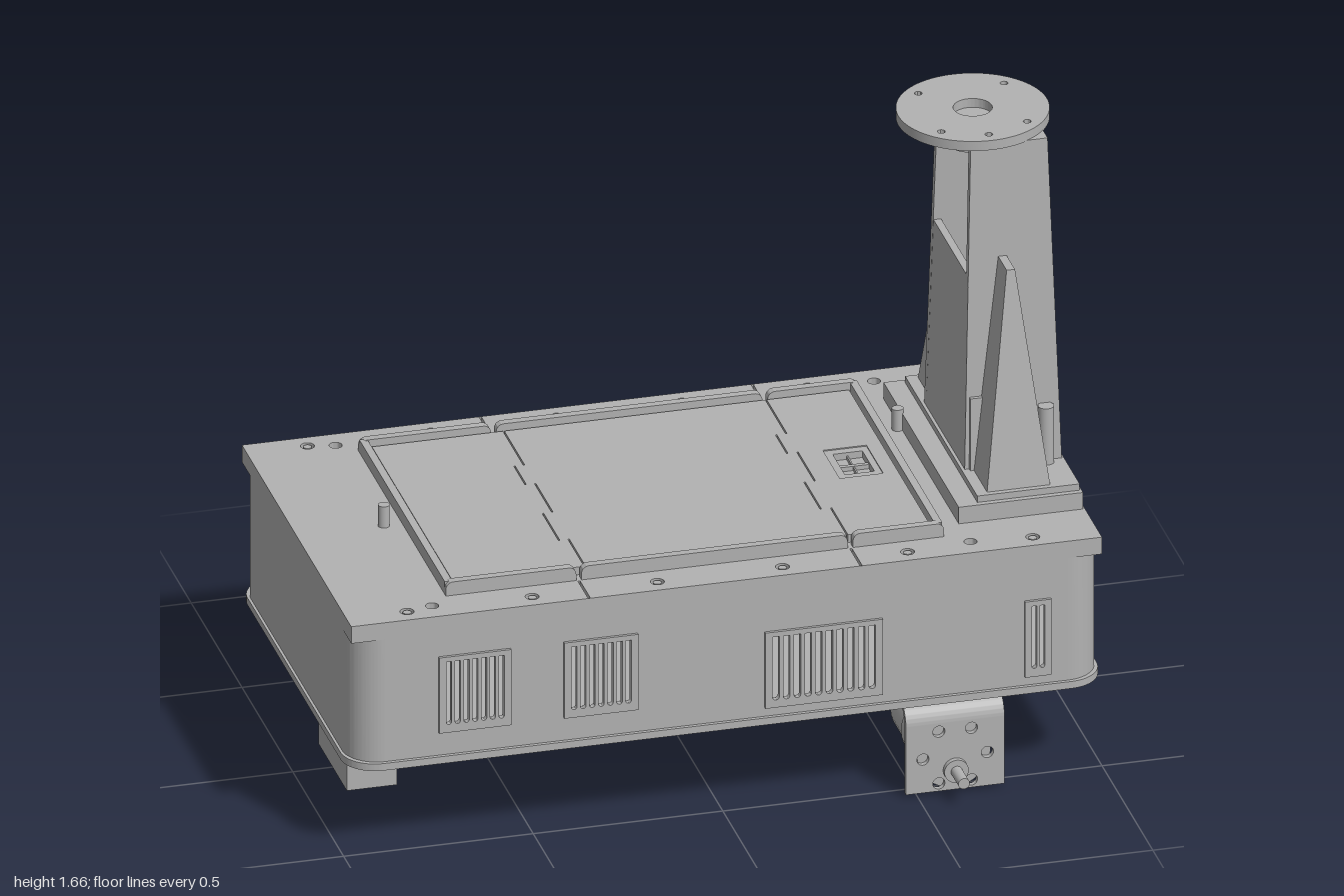
import * as THREE from 'three';
import { toCreasedNormals } from 'three/addons/utils/BufferGeometryUtils.js';

const grey = new THREE.MeshStandardMaterial({ color: 0xb2b2b2, side: THREE.DoubleSide });
grey.name = 'matt grey';

export function createModel() {
  const model = new THREE.Group();
  model.name = 'wheeledBaseWithMast';

  const add = (name, geometry, parent = model) => {
    const mesh = new THREE.Mesh(geometry, grey);
    mesh.name = name;
    parent.add(mesh);
    return mesh;
  };
  // Box given by its limits on each axis
  const box = (name, x0, x1, y0, y1, z0, z1, parent) =>
    add(name, new THREE.BoxGeometry(x1 - x0, y1 - y0, z1 - z0)
      .translate((x0 + x1) / 2, (y0 + y1) / 2, (z0 + z1) / 2), parent);
  // Box whose top rectangle differs from its bottom; rectangles are [x0, x1, z0, z1]
  const taper = (name, y0, y1, low, high, parent) => {
    const g = new THREE.BoxGeometry(1, 1, 1).toNonIndexed();
    const p = g.attributes.position;
    for (let i = 0; i < p.count; i++) {
      const r = p.getY(i) > 0 ? high : low;
      p.setXYZ(i, r[p.getX(i) > 0 ? 1 : 0], p.getY(i) > 0 ? y1 : y0, r[p.getZ(i) > 0 ? 3 : 2]);
    }
    g.computeVertexNormals();
    return add(name, g, parent);
  };
  const rod = (name, r, y0, y1, x, z, parent) =>
    add(name, new THREE.CylinderGeometry(r, r, y1 - y0, 24).translate(x, (y0 + y1) / 2, z), parent);
  const rodZ = (name, r, z0, z1, x, y, parent) =>
    add(name, new THREE.CylinderGeometry(r, r, z1 - z0, 32).rotateX(Math.PI / 2)
      .translate(x, y, (z0 + z1) / 2), parent);
  const extrude = (shape, depth) => toCreasedNormals(
    new THREE.ExtrudeGeometry(shape, { depth, bevelEnabled: false, curveSegments: 16 }), 0.6);
  // Shape drawn in x and -z, raised from y0 to y1
  const slab = (name, shape, y0, y1, parent) =>
    add(name, extrude(shape, y1 - y0).rotateX(-Math.PI / 2).translate(0, y0, 0), parent);
  const rect = (x0, x1, y0, y1, Type = THREE.Shape) => new Type(
    [[x0, y0], [x1, y0], [x1, y1], [x0, y1]].map(([x, y]) => new THREE.Vector2(x, y)));
  const hole = (x, y, r) => new THREE.Path().absarc(x, y, r, 0, Math.PI * 2, true);

  // Floor plate with rounded corners
  const floor = new THREE.Shape();
  const [fx, fz, fr] = [0.997, 0.548, 0.09];
  floor.absarc(fx - fr, fz - fr, fr, 0, Math.PI / 2);
  floor.absarc(-fx + fr, fz - fr, fr, Math.PI / 2, Math.PI);
  floor.absarc(-fx + fr, -fz + fr, fr, Math.PI, Math.PI * 1.5);
  floor.absarc(fx - fr, -fz + fr, fr, Math.PI * 1.5, Math.PI * 2);
  slab('floorPlate', floor, 0.265, 0.285);

  // End walls, rounded into the long sides
  for (const s of [1, -1]) {
    const u = new THREE.Shape();
    u.moveTo(0.9, -0.538);
    u.absarc(0.9, -0.448, 0.09, -Math.PI / 2, 0);
    u.absarc(0.9, 0.448, 0.09, 0, Math.PI / 2);
    u.lineTo(0.9, 0.518);
    u.absarc(0.9, 0.448, 0.07, Math.PI / 2, 0, true);
    u.absarc(0.9, -0.448, 0.07, 0, -Math.PI / 2, true);
    const end = slab('endWall', u, 0.285, 0.632);
    if (s < 0) end.rotation.y = Math.PI;
  }

  // Long side walls with slotted vents: [x0, x1, y0, y1, slot count]
  const vents = [[-0.76, -0.57, 0.35, 0.565, 7], [-0.43, -0.235, 0.35, 0.565, 7],
    [0.1, 0.41, 0.31, 0.525, 10], [0.785, 0.855, 0.31, 0.525, 2]];
  for (const s of [1, -1]) {
    const wall = rect(-0.9, 0.9, 0.285, 0.632);
    for (const [x0, x1, y0, y1, n] of vents) {
      wall.holes.push(rect(x0 + 0.008, x1 - 0.008, y0 + 0.008, y1 - 0.008, THREE.Path));
      const plate = rect(x0, x1, y0, y1);
      const pitch = (x1 - x0 - 0.028) / n;
      for (let i = 0; i < n; i++) {
        const x = x0 + 0.014 + pitch * (i + 0.5), w = pitch * 0.31;
        const slot = new THREE.Path();
        slot.moveTo(x - w, y1 - 0.014);
        slot.lineTo(x - w, y0 + 0.03);
        slot.absarc(x, y0 + 0.03, w, Math.PI, Math.PI * 2);
        slot.lineTo(x + w, y1 - 0.014);
        plate.holes.push(slot);
      }
      add('ventGrille', extrude(plate, 0.016).translate(0, 0, s > 0 ? 0.53 : -0.546));
    }
    add('sideWall', extrude(wall, 0.02).translate(0, 0, s > 0 ? 0.518 : -0.538));
  }

  // Deck with bolt holes, screws and notched edges
  const deck = rect(-0.99, 0.99, -0.538, 0.538);
  for (const s of [1, -1]) {
    for (const x of [-0.76, 0.66]) deck.holes.push(hole(x, s * 0.475, 0.017));
    for (let i = 0; i < 6; i++) {
      const x = -0.83 + i * 0.33;
      deck.holes.push(hole(x, s * 0.49, 0.018));
      rod('deckScrew', 0.011, 0.635, 0.678, x, s * 0.49);
    }
    for (const x of [-0.362, 0.355])
      deck.holes.push(rect(x - 0.003, x + 0.003, s * 0.485 - 0.05, s * 0.485 + 0.05, THREE.Path));
  }
  slab('deck', deck, 0.632, 0.68);

  // Lid in three pieces with stepped joints
  const steps = [-0.4, -0.2, -0.09, 0.08, 0.24, 0.4];
  const joint = (outer, inner) => steps.slice(1).flatMap((z, i) => {
    const x = i % 2 ? outer : inner;
    return [new THREE.Vector2(x, -steps[i]), new THREE.Vector2(x, -z)];
  });
  const shift = (pts, d) => pts.map((p) => new THREE.Vector2(p.x + d, p.y));
  const straight = (x) => [new THREE.Vector2(x, 0.4), new THREE.Vector2(x, -0.4)];
  const left = joint(-0.362, -0.337), right = joint(0.328, 0.355);
  const edges = [straight(-0.686), left, right, straight(0.576)];
  for (let i = 0; i < 3; i++) {
    const a = shift(edges[i], 0.002), b = shift(edges[i + 1], -0.002);
    const piece = new THREE.Shape([...a, ...b.reverse()]);
    if (i === 2) piece.holes.push(rect(0.42, 0.535, -0.083, 0.083, THREE.Path));
    slab('lidPanel', piece, 0.675, 0.702);
  }
  // Recessed latch in the lid
  const latch = rect(0.42, 0.535, -0.083, 0.083);
  latch.holes.push(rect(0.44, 0.518, -0.06, 0.06, THREE.Path));
  slab('latchFrame', latch, 0.68, 0.699);
  box('latchBar', 0.44, 0.518, 0.68, 0.692, -0.006, 0.006);
  box('latchSpine', 0.476, 0.48, 0.68, 0.69, -0.06, 0.06);

  // Raised rails round the lid
  for (const s of [1, -1]) {
    for (const [x0, x1] of [[-0.712, -0.368], [-0.354, 0.348], [0.362, 0.602]]) {
      const r = 0.02, rail = new THREE.Shape();
      rail.moveTo(x0, 0.68);
      rail.lineTo(x1, 0.68);
      rail.absarc(x1 - r, 0.718 - r, r, 0, Math.PI / 2);
      rail.absarc(x0 + r, 0.718 - r, r, Math.PI / 2, Math.PI);
      add('longRail', extrude(rail, 0.022).translate(0, 0, s > 0 ? 0.409 : -0.431));
    }
  }
  for (const x of [-0.712, 0.58]) box('crossRail', x, x + 0.02, 0.68, 0.716, -0.42, 0.42);

  // Deck pins
  rod('deckPin', 0.015, 0.68, 0.74, -0.76, 0);
  rod('deckPin', 0.015, 0.68, 0.74, 0.647, -0.195);

  // Mast: foot, hollow tapered column open near the top at the rear
  const mast = new THREE.Group();
  mast.name = 'mast';
  model.add(mast);
  box('mastFoot', 0.657, 0.985, 0.68, 0.727, -0.37, 0.37, mast);
  box('mastFootStep', 0.71, 0.98, 0.727, 0.745, -0.355, 0.355, mast);
  taper('mastFrontWall', 0.73, 1.645, [0.95, 0.975, -0.2, 0.2], [0.92, 0.945, -0.17, 0.17], mast);
  taper('mastRearWall', 0.73, 1.28, [0.718, 0.74, -0.2, 0.2], [0.733, 0.753, -0.182, 0.182], mast);
  for (const s of [1, -1]) {
    const span = (x0, x1, a, b) => [x0, x1, Math.min(s * a, s * b), Math.max(s * a, s * b)];
    taper('mastSideWall', 0.73, 1.645, span(0.718, 0.974, 0.18, 0.2), span(0.742, 0.944, 0.15, 0.17), mast);
    taper('mastGusset', 0.73, 1.33, span(0.738, 0.908, 0.19, 0.342), span(0.812, 0.834, 0.17, 0.263), mast);
    taper('gussetPad', 0.73, 0.945, span(0.73, 0.908, 0.19, 0.212), span(0.733, 0.9, 0.185, 0.203), mast);
    rod('mastPost', 0.021, 0.745, 0.905, 0.93, s * 0.21, mast);
  }

  // Round mounting flange with bolt holes, hub and flared collar
  const flange = new THREE.Shape().absarc(0.793, 0, 0.196, 0, Math.PI * 2);
  flange.holes.push(hole(0.793, 0, 0.05));
  for (const deg of [45, 135, 225, 270, 315]) {
    const a = THREE.MathUtils.degToRad(deg);
    flange.holes.push(hole(0.793 + 0.16 * Math.cos(a), 0.16 * Math.sin(a), 0.01));
  }
  const disc = new THREE.ExtrudeGeometry(flange, { depth: 0.027, bevelEnabled: false, curveSegments: 48 });
  add('flange', toCreasedNormals(disc, 0.6).rotateX(-Math.PI / 2).translate(0, 1.643, 0), mast);
  rod('flangeHub', 0.07, 1.575, 1.645, 0.793, 0, mast);
  add('flangeCollar', new THREE.CylinderGeometry(0.195, 0.153, 0.036, 24, 1, true, Math.PI / 2 - 1.05, 2.1)
    .translate(0.793, 1.626, 0), mast);

  // Support block under the far end
  box('supportBlock', -0.895, -0.763, 0.01, 0.266, -0.14, 0.14);

  // Drive motors on bent brackets
  for (const s of [1, -1]) {
    const drive = new THREE.Group();
    drive.name = 'driveMotor';
    model.add(drive);
    const plate = rect(0.47, 0.73, 0.018, 0.21);
    for (const [dx, y] of [[0.043, 0.187], [0.085, 0.113], [0.043, 0.04]])
      for (const m of [1, -1]) plate.holes.push(hole(0.6 + m * dx, y, 0.016));
    add('bracketPlate', extrude(plate, 0.014).translate(0, 0, 0.534), drive);
    const bend = new THREE.Shape();
    bend.moveTo(0.548, 0.208);
    bend.absarc(0.493, 0.21, 0.055, 0, Math.PI / 2);
    bend.lineTo(0.3, 0.265);
    bend.lineTo(0.3, 0.251);
    bend.absarc(0.493, 0.21, 0.041, Math.PI / 2, 0, true);
    add('bracketBend', extrude(bend, 0.26).rotateY(-Math.PI / 2).translate(0.73, 0, 0), drive);
    rodZ('gearbox', 0.097, 0.375, 0.534, 0.6, 0.115, drive);
    rodZ('motorCan', 0.091, 0.25, 0.375, 0.6, 0.115, drive);
    rodZ('rearBearing', 0.018, 0.233, 0.25, 0.6, 0.115, drive);
    for (const m of [1, -1]) box('terminal', 0.585, 0.615, 0.113 + m * 0.066, 0.116 + m * 0.066, 0.218, 0.25, drive);
    rodZ('shaftBoss', 0.032, 0.545, 0.562, 0.6, 0.075, drive);
    rodZ('shaft', 0.015, 0.54, 0.635, 0.6, 0.075, drive);
    if (s < 0) { // turned about to face the other side
      drive.rotation.y = Math.PI;
      drive.position.x = 1.2;
    }
  }
  return model;
}
